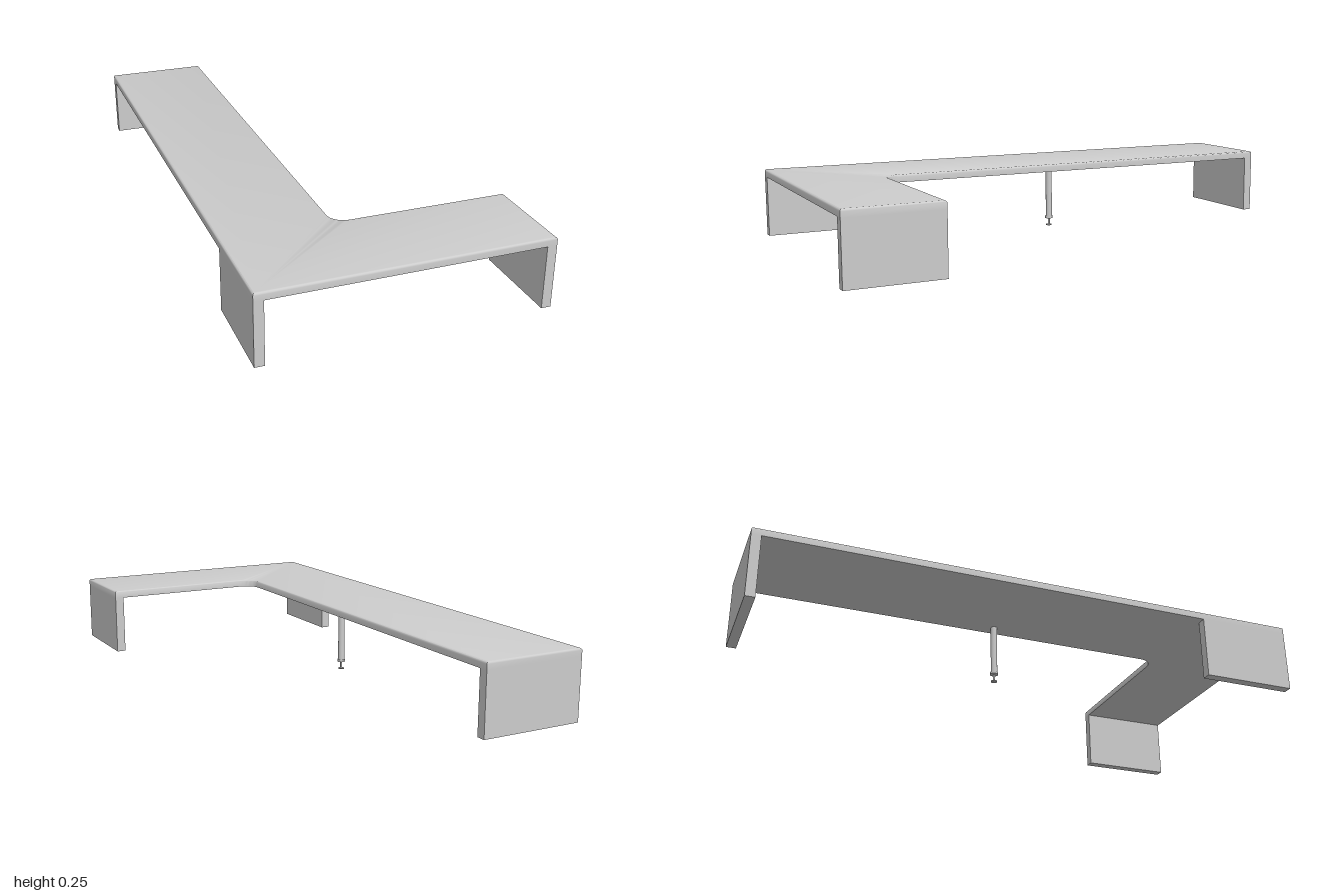
import * as THREE from 'three';
import { toCreasedNormals } from 'three/addons/utils/BufferGeometryUtils.js';

const X = 0.505, ARM_X = -0.12, FRONT = 1, BACK = -1, ARM_Z = 0.655;
const UNDER = 0.225, TOP = 0.253, PANEL = 0.034, ROUND = 0.008;

// L-shaped outline in (x, z), moved inwards by d, with a filleted inner corner
function outline(d) {
  const r = 0.055, n = 10;
  const pts = [[-X + d, FRONT - d], [X - d, FRONT - d], [X - d, ARM_Z + d]];
  for (let i = 0; i <= n; i++) {
    const a = (i / n) * Math.PI / 2;
    pts.push([ARM_X + r - Math.sin(a) * (r + d), ARM_Z - r + Math.cos(a) * (r + d)]);
  }
  pts.push([ARM_X - d, BACK + d], [-X + d, BACK + d]);
  return pts;
}

// Worktop: stacked outlines, shrinking along a quarter circle at the top edge
function worktopGeometry() {
  const levels = [[0, UNDER]];
  for (let i = 0; i <= 4; i++) {
    const a = (i / 4) * Math.PI / 2;
    levels.push([ROUND * (1 - Math.cos(a)), TOP - ROUND * (1 - Math.sin(a))]);
  }
  const rings = levels.map(([d, y]) => outline(d).map(([x, z]) => [x, y, z]));
  const pos = [];
  const tri = (a, b, c) => pos.push(...a, ...b, ...c);
  for (let k = 0; k < rings.length - 1; k++) {
    const lo = rings[k], hi = rings[k + 1];
    lo.forEach((a, i) => {
      const j = (i + 1) % lo.length;
      tri(a, lo[j], hi[j]);
      tri(a, hi[j], hi[i]);
    });
  }
  // flat top and underside
  const bottom = rings[0], top = rings[rings.length - 1];
  const contour = top.map(([x, , z]) => new THREE.Vector2(x, -z));
  for (const [a, b, c] of THREE.ShapeUtils.triangulateShape(contour, [])) {
    tri(top[a], top[b], top[c]);
    tri(bottom[a], bottom[c], bottom[b]);
  }
  const geo = new THREE.BufferGeometry();
  geo.setAttribute('position', new THREE.Float32BufferAttribute(pos, 3));
  return toCreasedNormals(geo, 0.6);
}

export function createModel() {
  const group = new THREE.Group();
  const material = new THREE.MeshStandardMaterial({ color: 0xcccccc });
  const add = (name, geometry, x = 0, y = 0, z = 0, parent = group) => {
    const mesh = new THREE.Mesh(geometry, material);
    mesh.name = name;
    mesh.position.set(x, y, z);
    parent.add(mesh);
    return mesh;
  };

  add('worktop', worktopGeometry());

  // Panel legs at the three ends
  const sideDepth = FRONT - ARM_Z, sideZ = (FRONT + ARM_Z) / 2;
  for (const [name, s] of [['leftPanel', 1], ['rightPanel', -1]]) {
    add(name, new THREE.BoxGeometry(PANEL, UNDER, sideDepth), s * (X - PANEL / 2), UNDER / 2, sideZ);
  }
  add('backPanel', new THREE.BoxGeometry(ARM_X + X, UNDER, PANEL),
    (ARM_X - X) / 2, UNDER / 2, BACK + PANEL / 2);

  // Round support leg with collar, threaded rod and adjustable foot
  const leg = new THREE.Group();
  leg.name = 'supportLeg';
  leg.position.set(-0.165, 0, -0.04);
  group.add(leg);
  const rod = (name, r, y0, y1) =>
    add(name, new THREE.CylinderGeometry(r, r, y1 - y0, 24), 0, (y0 + y1) / 2, 0, leg);
  rod('legTube', 0.012, 0.042, UNDER);
  rod('legCollar', 0.015, 0.033, 0.042);
  rod('legRod', 0.004, 0.008, 0.033);
  rod('legFoot', 0.011, 0.004, 0.008);

  return group;
}
